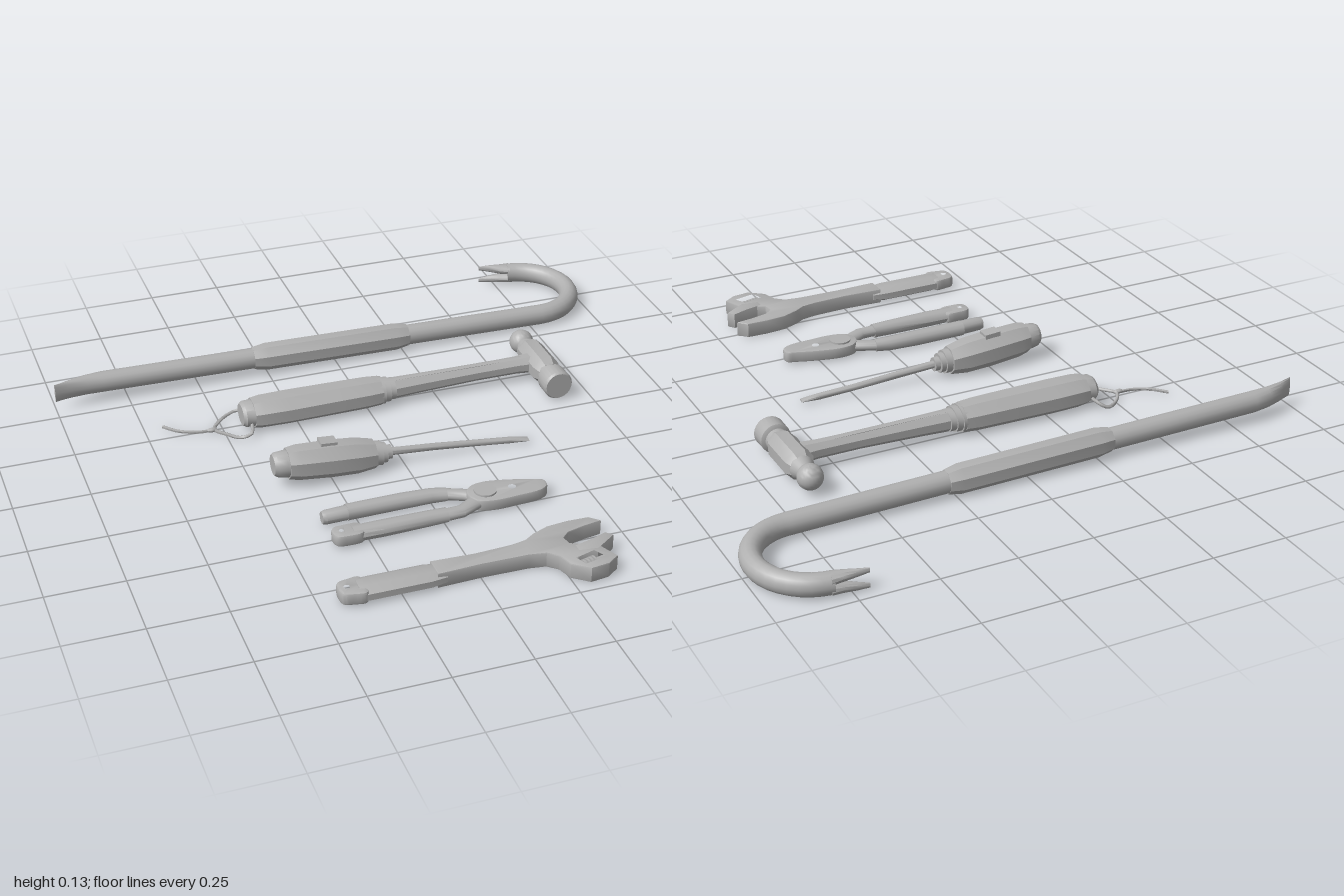
import * as THREE from 'three';
import { toCreasedNormals } from 'three/addons/utils/BufferGeometryUtils.js';

const steel = new THREE.MeshStandardMaterial({ color: 0xb0b0b0 });
steel.name = 'grey steel';

function add(group, name, geo, crease = 0.6) {
  const mesh = new THREE.Mesh(toCreasedNormals(geo, crease), steel);
  mesh.name = name;
  group.add(mesh);
  return mesh;
}

// Solid through rows of [x, y, z, half width, half height], lying in the ground plane
function loft(rows, sides = 16) {
  const pos = [], index = [], n = rows.length;
  const turn = sides === 8 ? Math.PI / 8 : 0;
  rows.forEach(([x, y, z, w, h], i) => {
    const a = rows[Math.max(0, i - 1)], b = rows[Math.min(n - 1, i + 1)];
    const len = Math.hypot(b[0] - a[0], b[2] - a[2]) || 1;
    const tx = (b[0] - a[0]) / len, tz = (b[2] - a[2]) / len;
    for (let j = 0; j < sides; j++) {
      const t = turn + (j / sides) * Math.PI * 2, k = 1 / Math.cos(turn);
      const c = Math.cos(t) * w * k, s = Math.sin(t) * h * k;
      pos.push(x + tz * c, y + s, z - tx * c);
    }
  });
  for (let i = 0; i < n - 1; i++) for (let j = 0; j < sides; j++) {
    const k = (j + 1) % sides, a = i * sides, b = a + sides;
    index.push(a + j, a + k, b + k, a + j, b + k, b + j);
  }
  const c0 = n * sides, last = (n - 1) * sides;
  pos.push(...rows[0].slice(0, 3), ...rows[n - 1].slice(0, 3));
  for (let j = 0; j < sides; j++) {
    const k = (j + 1) % sides;
    index.push(c0, k, j, c0 + 1, last + j, last + k);
  }
  const geo = new THREE.BufferGeometry();
  geo.setAttribute('position', new THREE.Float32BufferAttribute(pos, 3));
  geo.setIndex(index);
  geo.computeVertexNormals();
  return geo;
}

// Flat plate from an [x, z] outline, with optional outlines cut out
function plate(outline, y, height, bevel = 0.006, holes = []) {
  const points = (list) => list.map(([x, z]) => new THREE.Vector2(x, -z));
  const shape = new THREE.Shape(points(outline));
  holes.forEach((h) => shape.holes.push(new THREE.Path(points(h))));
  const geo = new THREE.ExtrudeGeometry(shape, {
    depth: height - 2 * bevel, bevelEnabled: bevel > 0, bevelSize: bevel,
    bevelThickness: bevel, bevelOffset: -bevel, bevelSegments: 2,
  });
  return geo.rotateX(-Math.PI / 2).translate(0, y + bevel, 0);
}

const ring = (x, z, r, n = 14) => Array.from({ length: n }, (_, i) =>
  [x + r * Math.cos((i / n) * Math.PI * 2), z + r * Math.sin((i / n) * Math.PI * 2)]);
const smooth = (pts, n = 50) => new THREE.CatmullRomCurve3(
  pts.map(([x, z]) => new THREE.Vector3(x, 0, z)), true, 'centripetal')
  .getPoints(n).slice(0, -1).map((p) => [p.x, p.z]);
const along = (y, z, list) => list.map(([x, w, h = w]) => [x, y, z, w, h]);

function crowbar() {
  const g = new THREE.Group();
  g.name = 'crowbar';
  const yAt = (x) => 0.066 - 0.016 * (x + 1);
  const z = -0.585, R = 0.175, cx = 0.79, cz = z - R;
  // chisel end and straight bar
  const rows = [[-1, 0.066, -0.551, 0.003, 0.033], [-0.95, 0.065, -0.567, 0.015, 0.034],
    [-0.89, 0.064, -0.58, 0.028, 0.035], [-0.83, 0.063, z, 0.035, 0.036]];
  for (const x of [-0.5, 0, 0.5]) rows.push([x, yAt(x), z, 0.036, 0.036]);
  // hook
  for (let i = 0; i <= 18; i++) {
    const a = (i / 18) * Math.PI * 0.98;
    rows.push([cx + R * Math.sin(a), 0.037, cz + R * Math.cos(a), 0.036 - 0.004 * i / 18, 0.036]);
  }
  add(g, 'bar', loft(rows, 16));
  // two prongs of the claw
  for (const s of [-1, 1]) {
    add(g, 'clawProng', loft([[0.81, 0.037 + s * 0.016, -0.935, 0.03, 0.019],
      [0.775, 0.037 + s * 0.018, -0.941, 0.021, 0.017], [0.735, 0.037 + s * 0.022, -0.951, 0.01, 0.013],
      [0.698, 0.037 + s * 0.025, -0.958, 0.003, 0.008]], 12));
  }
  add(g, 'grip', loft([[-0.297, 0.036], [-0.25, 0.044], [0.23, 0.044], [0.275, 0.036]]
    .map(([x, r]) => [x, yAt(x), z, r, r]), 8));
  return g;
}

function hammer() {
  const g = new THREE.Group();
  g.name = 'hammer';
  const z = -0.237, hx = 0.635, y = 0.055;
  add(g, 'grip', loft(along(0.05, z, [[-0.4, 0.057, 0.045], [-0.37, 0.061, 0.049],
    [-0.28, 0.064, 0.05], [-0.1, 0.06, 0.049], [0.0, 0.058, 0.048], [0.05, 0.053, 0.045]]), 8));
  add(g, 'gripEnd', loft(along(0.05, z, [[-0.438, 0.042, 0.035], [-0.428, 0.052, 0.042],
    [-0.39, 0.055, 0.044]])));
  // stepped collar rings
  [[0.05, 0.054], [0.07, 0.049], [0.09, 0.043]].forEach(([x, r]) =>
    add(g, 'collar', loft(along(0.05, z, [[x - 0.012, r, r * 0.85], [x + 0.01, r, r * 0.85]]))));
  add(g, 'shaft', loft([[0.08, 0.05, z, 0.037, 0.034], [0.2, 0.052, z, 0.033, 0.031],
    [0.4, 0.054, z, 0.028, 0.027], [0.55, y, z, 0.029, 0.028], [0.62, y, z, 0.037, 0.032]], 8));
  add(g, 'shaftRib', loft([[0.1, 0.082, z, 0.011, 0.005], [0.57, 0.08, z, 0.011, 0.005]], 8));
  // head, turned along z
  const turned = (list) => list.map(([zz, r]) => [hx, y, zz, r, r]);
  add(g, 'strikingFace', loft(turned([[-0.125, 0.038], [-0.118, 0.05], [-0.06, 0.051],
    [-0.052, 0.046]]), 24));
  add(g, 'headNeck', loft(turned([[-0.39, 0.028], [-0.355, 0.028], [-0.33, 0.04],
    [-0.15, 0.039], [-0.115, 0.038]]), 24));
  add(g, 'headBody', loft(turned([[-0.335, 0.034], [-0.305, 0.047], [-0.17, 0.047],
    [-0.14, 0.037]]), 8));
  add(g, 'ballPeen', new THREE.SphereGeometry(0.042, 24, 16).translate(hx, y, -0.388));
  // wrist cord with knot and tail
  const cord = (name, pts) => add(g, name, new THREE.TubeGeometry(new THREE.CatmullRomCurve3(
    pts.map(([x, yy, zz]) => new THREE.Vector3(x, yy, zz))), 28, 0.006, 6), 1.2);
  cord('cordLoop', [[-0.41, 0.04, -0.25], [-0.415, 0.03, -0.3], [-0.445, 0.012, -0.325],
    [-0.495, 0.007, -0.295], [-0.53, 0.007, -0.24], [-0.5, 0.007, -0.2],
    [-0.46, 0.01, -0.158], [-0.425, 0.02, -0.155], [-0.41, 0.04, -0.21]]);
  cord('cordTail', [[-0.53, 0.007, -0.24], [-0.585, 0.007, -0.243], [-0.645, 0.007, -0.27],
    [-0.688, 0.007, -0.315]]);
  add(g, 'cordKnot', new THREE.SphereGeometry(0.011, 10, 8).scale(1.5, 0.7, 0.8)
    .translate(-0.54, 0.009, -0.238));
  return g;
}

function screwdriver() {
  const g = new THREE.Group();
  g.name = 'screwdriver';
  const z = 0.145, tilt = (x) => 0.078 - 0.077 * (x + 0.43);
  const line = (list) => list.map(([x, r]) => [x, tilt(x), z, r, r]);
  add(g, 'endCap', loft(line([[-0.44, 0.034], [-0.43, 0.041], [-0.4, 0.045], [-0.385, 0.046]])));
  add(g, 'handle', loft(line([[-0.393, 0.048], [-0.36, 0.054], [-0.25, 0.057], [-0.16, 0.055],
    [-0.1, 0.045]]), 8));
  // ferrule rings
  [[-0.085, 0.041], [-0.068, 0.034], [-0.05, 0.024]].forEach(([x, r]) =>
    add(g, 'ferrule', loft(line([[x - 0.018, r], [x + 0.007, r]]))));
  // slide button
  add(g, 'button', new THREE.BoxGeometry(0.055, 0.018, 0.045)
    .rotateZ(-0.08).translate(-0.255, 0.122, 0.138));
  add(g, 'shaft', loft([[-0.06, 0.05, z, 0.013, 0.013], [0.1, 0.038, 0.147, 0.012, 0.012],
    [0.25, 0.025, 0.152, 0.011, 0.011], [0.37, 0.016, 0.159, 0.011, 0.011],
    [0.4, 0.014, 0.162, 0.013, 0.008], [0.432, 0.011, 0.165, 0.013, 0.003]], 12));
  return g;
}

function pliers() {
  const g = new THREE.Group();
  g.name = 'pliers';
  const y = 0.026;
  const jaws = smooth([[0.1, 0.46], [0.12, 0.42], [0.17, 0.405], [0.25, 0.418], [0.33, 0.443],
    [0.36, 0.455], [0.36, 0.49], [0.33, 0.51], [0.25, 0.518], [0.17, 0.52], [0.12, 0.505]]);
  add(g, 'jaws', plate(jaws, 0.006, 0.04, 0.006, [ring(0.25, 0.465, 0.019)]));
  add(g, 'pivot', new THREE.CylinderGeometry(0.036, 0.038, 0.05, 24).translate(0.16, 0.027, 0.462));
  // handle cores bending into the joint
  add(g, 'backHandleCore', loft([[-0.36, y, 0.408, 0.021, 0.018], [0, y, 0.402, 0.022, 0.018],
    [0.05, y, 0.41, 0.022, 0.018], [0.1, y, 0.432, 0.022, 0.018], [0.15, y, 0.46, 0.026, 0.018]]));
  add(g, 'frontHandleCore', loft([[-0.2, y, 0.523, 0.02, 0.018], [0, y, 0.52, 0.024, 0.018],
    [0.06, y, 0.517, 0.024, 0.018], [0.1, y, 0.495, 0.026, 0.018], [0.15, y, 0.47, 0.028, 0.018]]));
  // sleeves
  add(g, 'backSleeve', loft([[-0.28, y, 0.403, 0.028, 0.026], [-0.1, y, 0.4, 0.028, 0.026],
    [0, y, 0.402, 0.026, 0.024], [0.05, y, 0.41, 0.024, 0.021]], 12));
  add(g, 'backSleeveEnd', loft([[-0.362, y, 0.408, 0.02, 0.02], [-0.35, y, 0.408, 0.024, 0.023],
    [-0.27, y, 0.404, 0.025, 0.024]], 12));
  add(g, 'frontSleeve', loft([[-0.3, y, 0.523, 0.031, 0.024], [-0.2, y, 0.523, 0.031, 0.026],
    [-0.05, y, 0.52, 0.027, 0.025], [0.01, y, 0.519, 0.026, 0.023]], 12));
  const end = smooth([[-0.365, 0.52], [-0.355, 0.495], [-0.32, 0.489], [-0.27, 0.494],
    [-0.27, 0.55], [-0.32, 0.557], [-0.355, 0.55]], 32);
  add(g, 'frontSleeveEnd', plate(end, 0.006, 0.04, 0.008, [ring(-0.335, 0.522, 0.016)]));
  return g;
}

function wrench() {
  const g = new THREE.Group();
  g.name = 'adjustableWrench';
  const y = 0.027;
  const endTab = smooth([[-0.44, 0.808], [-0.432, 0.775], [-0.4, 0.766], [-0.36, 0.765],
    [-0.36, 0.852], [-0.4, 0.85], [-0.432, 0.84]], 32);
  add(g, 'gripEnd', plate(endTab, 0.006, 0.042, 0.008, [ring(-0.412, 0.808, 0.018)]));
  add(g, 'grip', loft(along(y, 0.808, [[-0.38, 0.045, 0.023], [-0.35, 0.046, 0.026],
    [-0.16, 0.046, 0.026], [-0.11, 0.037, 0.021]]), 8));
  // neck flaring into the head and fixed jaw
  const head = [[-0.14, 0.773], [0, 0.779], [0.12, 0.773], [0.17, 0.763], [0.205, 0.74],
    [0.26, 0.717], [0.33, 0.71], [0.4, 0.712], [0.43, 0.742], [0.37, 0.752], [0.31, 0.767],
    [0.285, 0.79], [0.29, 0.822], [0.325, 0.84], [0.37, 0.86], [0.4, 0.93], [0.36, 0.958],
    [0.3, 0.966], [0.25, 0.925], [0.235, 0.875], [0.205, 0.848], [0.15, 0.84], [0, 0.838], [-0.14, 0.843]];
  const slot = [[0.272, 0.9], [0.345, 0.878], [0.37, 0.925], [0.29, 0.945]];
  add(g, 'headAndNeck', plate(head, 0.001, 0.053, 0.004, [slot]));
  // sliding jaw, its slide and the thumb screw
  add(g, 'slidingJaw', plate([[0.3, 0.84], [0.36, 0.825], [0.415, 0.805], [0.433, 0.828],
    [0.39, 0.858], [0.36, 0.878], [0.3, 0.87]], 0, 0.055, 0.004));
  for (let i = 0; i < 5; i++) {
    add(g, 'thumbScrew', new THREE.CylinderGeometry(0.021, 0.021, 0.007, 16)
      .rotateZ(Math.PI / 2).rotateY(0.26).translate(0.285 + i * 0.012, y, 0.918 - i * 0.0032));
  }
  add(g, 'screwPin', loft([[0.265, y, 0.923, 0.011, 0.011], [0.375, y, 0.895, 0.011, 0.011]], 12));
  return g;
}

export function createModel() {
  const model = new THREE.Group();
  model.name = 'handTools';
  model.add(crowbar(), hammer(), screwdriver(), pliers(), wrench());
  return model;
}
